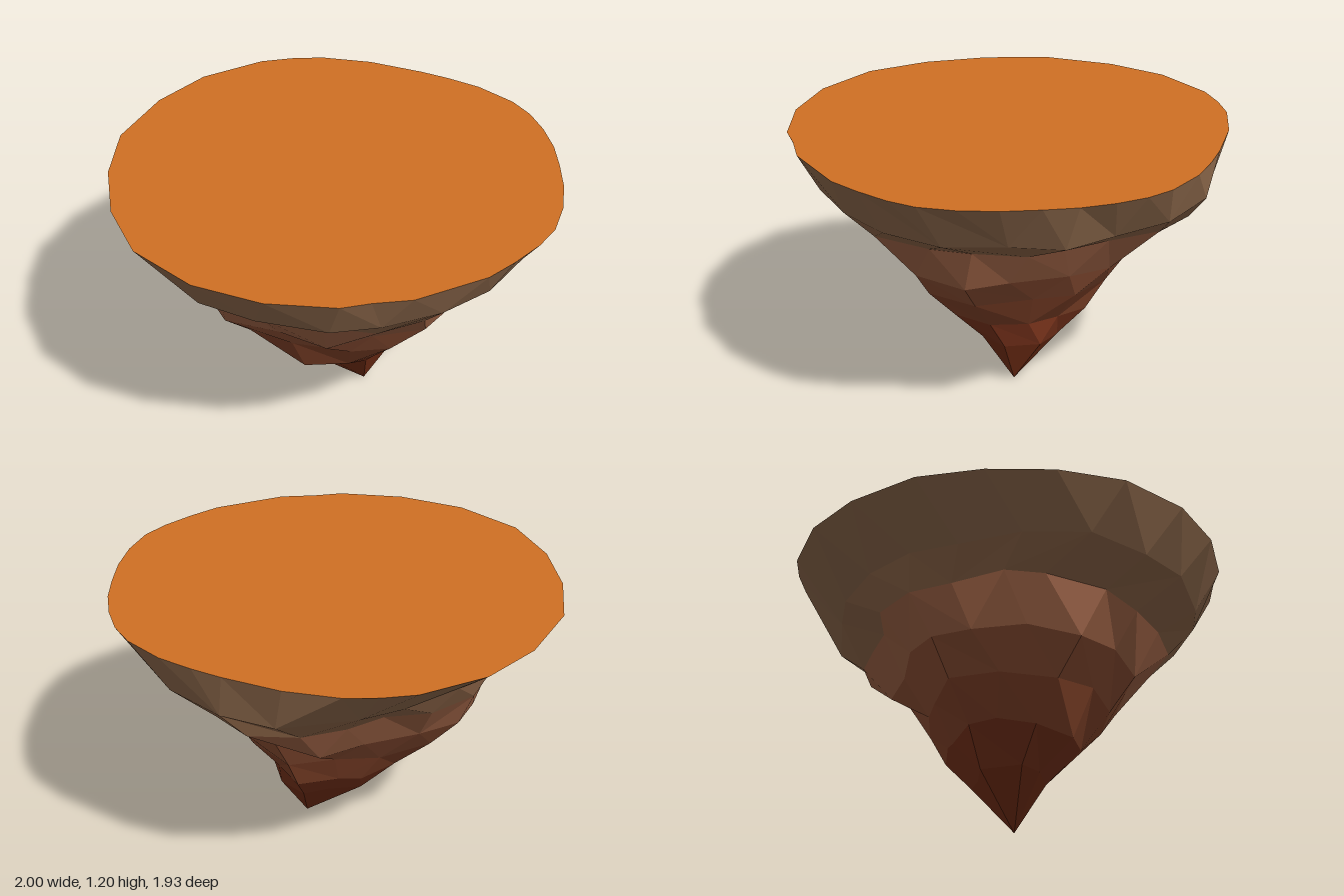
import * as THREE from 'three';

const TAU = Math.PI * 2;

// Outline of the flat top as x, z pairs, going from +x towards +z
const RIM = [
  [1, 0], [.98, .13], [.93, .28], [.87, .42], [.66, .68], [.52, .77], [.42, .85], [.14, .95], [-.17, .967],
  [-.49, .87], [-.72, .67], [-.89, .42], [-1, .14], [-1, -.2], [-.92, -.48], [-.74, -.73], [-.62, -.82],
  [-.49, -.89], [-.26, -.95], [0, -.967], [.14, -.965], [.3, -.95], [.49, -.89], [.6, -.82], [.7, -.72],
  [.79, -.6], [.86, -.47], [.93, -.32], [.98, -.16],
];
const TOP = 1.2;

// Lower cross-sections: height, corner count, roughness, and the reach in
// eight directions: +x, +x+z, +z, -x+z, -x, -x-z, -z, +x-z
const LEVELS = [
  [.99, 20, .03, [.86, .83, .84, .84, .78, .83, .93, .87]],
  [.86, 20, .03, [.65, .7, .65, .69, .71, .63, .84, .63]],
  [.67, 16, .05, [.58, .54, .53, .61, .62, .54, .6, .51]],
  [.52, 12, .05, [.46, .45, .41, .47, .49, .39, .48, .42]],
  [.35, 12, .04, [.3, .28, .3, .32, .32, .29, .39, .31]],
  [.22, 8, .02, [.225, .15, .1, .15, .17, .16, .27, .28]],
];
const TIP = new THREE.Vector3(.11, 0, -.09);

function seeded(seed) {
  return () => {
    seed = (seed * 16807) % 2147483647;
    return seed / 2147483647;
  };
}

// A rough ring around the middle of its own cross-section
function makeRing([y, n, rough, reach], random) {
  const cx = (reach[0] - reach[4]) / 2, cz = (reach[2] - reach[6]) / 2;
  const radii = reach.map((r, k) => r - cx * Math.cos(k * TAU / 8) - cz * Math.sin(k * TAU / 8));
  const ring = [];
  for (let i = 0; i < n; i++) {
    const onAxis = i % (n / 4) === 0;
    const angle = (i + (onAxis ? 0 : (random() - .5) * .4)) / n * TAU;
    const k = Math.floor(angle / TAU * 8);
    const t = THREE.MathUtils.smoothstep(angle / TAU * 8 - k, 0, 1);
    const jitter = onAxis ? 1 : 1 + (random() - .5) * 2 * rough;
    const r = THREE.MathUtils.lerp(radii[k], radii[(k + 1) % 8], t) * jitter;
    const height = y + (random() - .5) * rough;
    ring.push({ angle, p: new THREE.Vector3(cx + r * Math.cos(angle), height, cz + r * Math.sin(angle)) });
  }
  return ring;
}

// Triangles joining two rings with any number of corners
function stitch(upper, lower) {
  const points = [];
  const at = (ring, i) => ring[i % ring.length].p;
  const turn = (ring, i) => (i >= ring.length ? TAU : 0) + ring[i % ring.length].angle;
  let i = 0, j = 0;
  while (i < upper.length || j < lower.length) {
    const stepUpper = j >= lower.length ||
      (i < upper.length && turn(upper, i + 1) <= turn(lower, j + 1));
    if (stepUpper) {
      points.push(at(upper, i), at(upper, i + 1), at(lower, j));
      i++;
    } else {
      points.push(at(upper, i), at(lower, j + 1), at(lower, j));
      j++;
    }
  }
  return points;
}

export function createModel() {
  const group = new THREE.Group();
  group.name = 'floatingIsland';
  const add = (name, points, color) => {
    const geometry = new THREE.BufferGeometry().setFromPoints(points);
    geometry.computeVertexNormals();
    const mesh = new THREE.Mesh(geometry, new THREE.MeshStandardMaterial({ color, flatShading: true }));
    mesh.name = name;
    group.add(mesh);
  };

  const random = seeded(4217);
  const rim = RIM.map(([x, z]) => ({
    angle: (Math.atan2(z, x) + TAU) % TAU,
    p: new THREE.Vector3(x, TOP, z),
  }));
  const rings = [rim, ...LEVELS.map((level) => makeRing(level, random))];

  // Flat ground
  const centre = new THREE.Vector3(0, TOP, 0);
  add('ground', rim.flatMap(({ p }, i) => [centre, rim[(i + 1) % rim.length].p, p]), 0xd17124);

  // Rock bands, from brown under the rim to red near the tip
  const names = ['rimRock', 'shoulderRock', 'upperRock', 'middleRock', 'lowerRock', 'spikeRock'];
  const colors = [0x9c7454, 0x9c7050, 0xac6c4c, 0x9c583a, 0x904a2e, 0x86391f];
  names.forEach((name, i) => add(name, stitch(rings[i], rings[i + 1]), colors[i]));

  // Pointed tip
  const last = rings[rings.length - 1];
  add('tip', last.flatMap(({ p }, i) => [p, last[(i + 1) % last.length].p, TIP]), 0x803418);

  return group;
}
